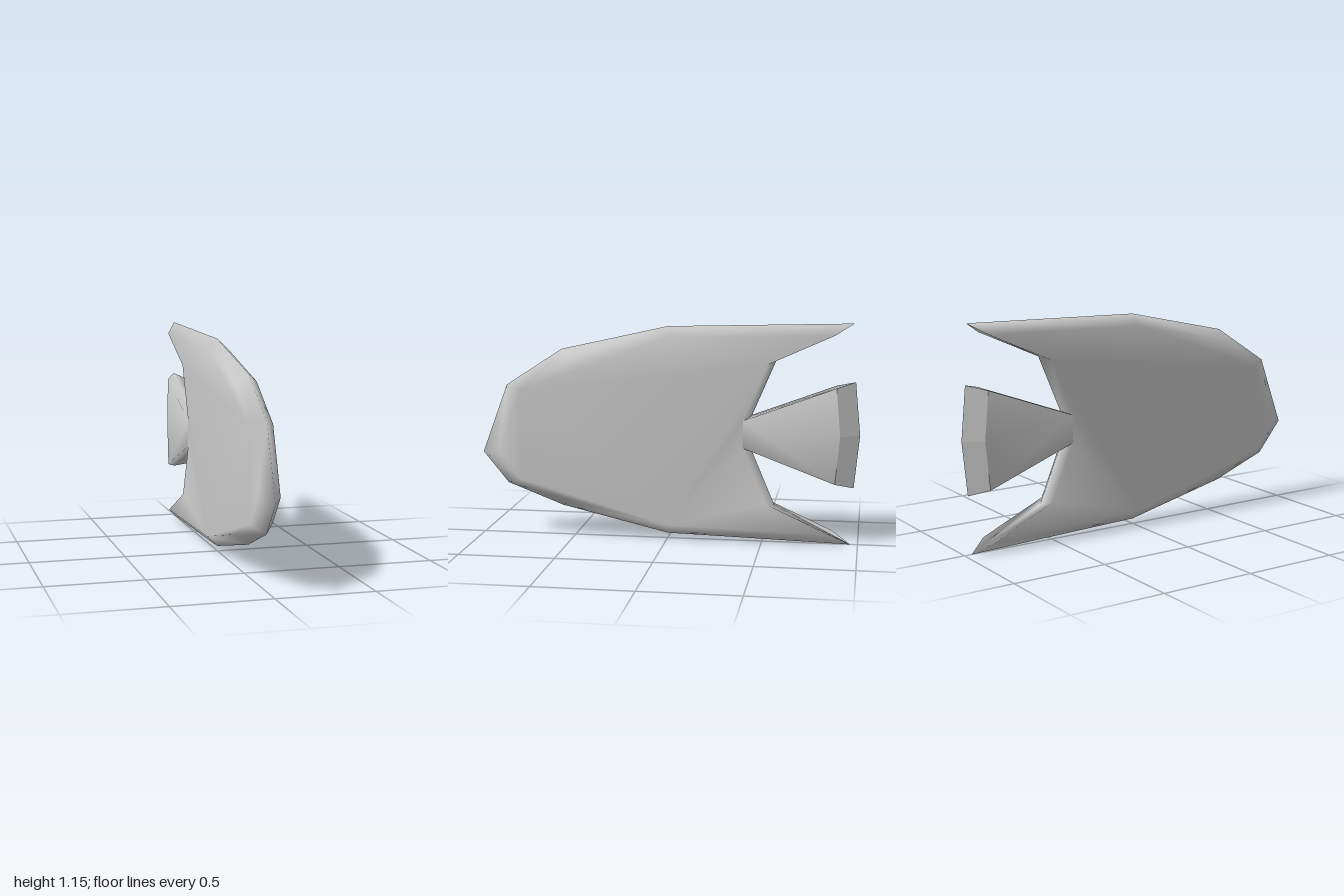
import * as THREE from 'three';

const HALF = 0.057; // half the thickness
const MID = 0.578; // height of the centre line
const INSET = 0.9; // side faces are the rim outline drawn in toward the centre

const grey = new THREE.MeshStandardMaterial({ color: 0xcccccc });
grey.name = 'grey';

// Rim point [z, y] and, where it is not a plain inset, its side face point [z, y]
function point(z, y, sideZ = z * INSET, sideY = MID + (y - MID) * INSET) {
  return { z, y, sideZ, sideY };
}
const mirrorY = (p) => point(p.z, 2 * MID - p.y, p.sideZ, 2 * MID - p.sideY);

// Bevelled plate: two side faces joined by sloping faces that meet on a ridge at x = 0
function plate(name, points, { caps = true, rim = () => true, flat = false } = {}) {
  const positions = [];
  const index = [];
  for (const p of points) {
    positions.push(-HALF, p.sideY, p.sideZ, 0, p.y, p.z, HALF, p.sideY, p.sideZ);
  }
  for (let i = 0; i < points.length - 1; i++) {
    if (!rim(i)) continue;
    const a = 3 * i;
    const b = a + 3;
    index.push(a, a + 1, b + 1, a, b + 1, b); // right slope
    index.push(a + 2, b + 1, a + 1, a + 2, b + 2, b + 1); // left slope
  }
  if (caps) {
    const outline = points.map((p) => new THREE.Vector2(p.sideZ, p.sideY));
    for (const [a, b, c] of THREE.ShapeUtils.triangulateShape(outline, [])) {
      const turn = (outline[b].x - outline[a].x) * (outline[c].y - outline[a].y)
        - (outline[b].y - outline[a].y) * (outline[c].x - outline[a].x);
      const [u, v] = turn > 0 ? [b, c] : [c, b];
      index.push(3 * a, 3 * u, 3 * v);
      index.push(3 * a + 2, 3 * v + 2, 3 * u + 2);
    }
  }
  let geometry = new THREE.BufferGeometry();
  geometry.setAttribute('position', new THREE.Float32BufferAttribute(positions, 3));
  geometry.setIndex(index);
  if (flat) geometry = geometry.toNonIndexed();
  geometry.computeVertexNormals();
  const mesh = new THREE.Mesh(geometry, grey);
  mesh.name = name;
  return mesh;
}

export function createModel() {
  const model = new THREE.Group();
  model.name = 'fish';

  const root = point(-0.44, 0.665, -0.4, 0.65); // where the tail meets the body
  const notch = point(-0.565, 0.96, -0.523, 0.943); // inner corner behind the fin
  const finTip = point(-0.96, 1.155);
  const back = point(0, 1.128);

  // Body with swept fins, from the lower tail root round the nose to the upper one
  model.add(plate('body', [
    mirrorY(root), mirrorY(notch), mirrorY(finTip), mirrorY(back),
    point(0.565, 0.16), point(0.865, 0.275), point(1, 0.44),
    point(0.865, 0.805), point(0.565, 1.0),
    back, finTip, notch, root,
  ]));

  // Tail fan with a crisp bevel along its trailing edge
  const tailTip = point(-0.973, 0.855, -0.877, 0.828);
  const tail = [root, tailTip, point(-1, MID), mirrorY(tailTip), mirrorY(root)];
  const isEnd = (i) => i === 1 || i === 2;
  model.add(plate('tail', tail, { rim: (i) => !isEnd(i) }));
  model.add(plate('tailEdge', tail, { caps: false, rim: isEnd, flat: true }));

  return model;
}
